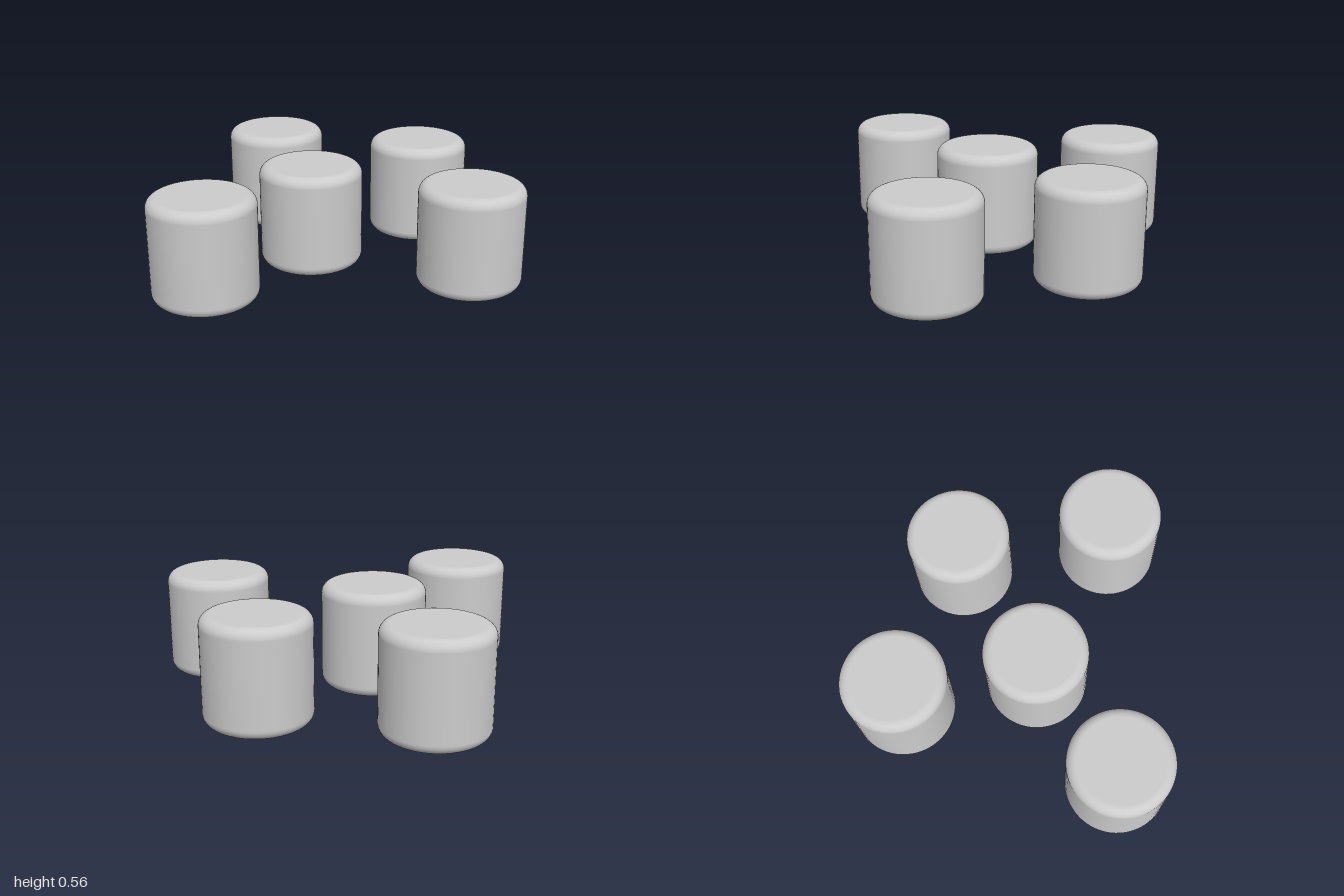
import * as THREE from 'three';

const RADIUS = 0.28;
const HEIGHT = 0.56;
const BEVEL = 0.055;

// Half outline of a cylinder with rounded rims, from bottom centre to top centre
function roundedProfile() {
  const points = [new THREE.Vector2(0, 0)];
  const arc = (cy, start) => {
    for (let i = 0; i <= 10; i++) {
      const a = start + (i / 10) * Math.PI / 2;
      points.push(new THREE.Vector2(RADIUS - BEVEL + BEVEL * Math.cos(a), cy + BEVEL * Math.sin(a)));
    }
  };
  arc(BEVEL, -Math.PI / 2);
  arc(HEIGHT - BEVEL, 0);
  points.push(new THREE.Vector2(0, HEIGHT));
  return points;
}

export function createModel() {
  const group = new THREE.Group();
  group.name = 'stools';
  const material = new THREE.MeshStandardMaterial({ color: 0xcccccc });
  const geometry = new THREE.LatheGeometry(roundedProfile(), 64);

  // Scattered round stools: [x, z]
  const places = [
    [-0.72, -0.49],
    [0.13, -0.715],
    [0.72, -0.115],
    [-0.17, 0.02],
    [-0.395, 0.71],
  ];
  places.forEach(([x, z], i) => {
    const stool = new THREE.Mesh(geometry, material);
    stool.name = `roundStool${i + 1}`;
    stool.position.set(x, 0, z);
    group.add(stool);
  });
  return group;
}
